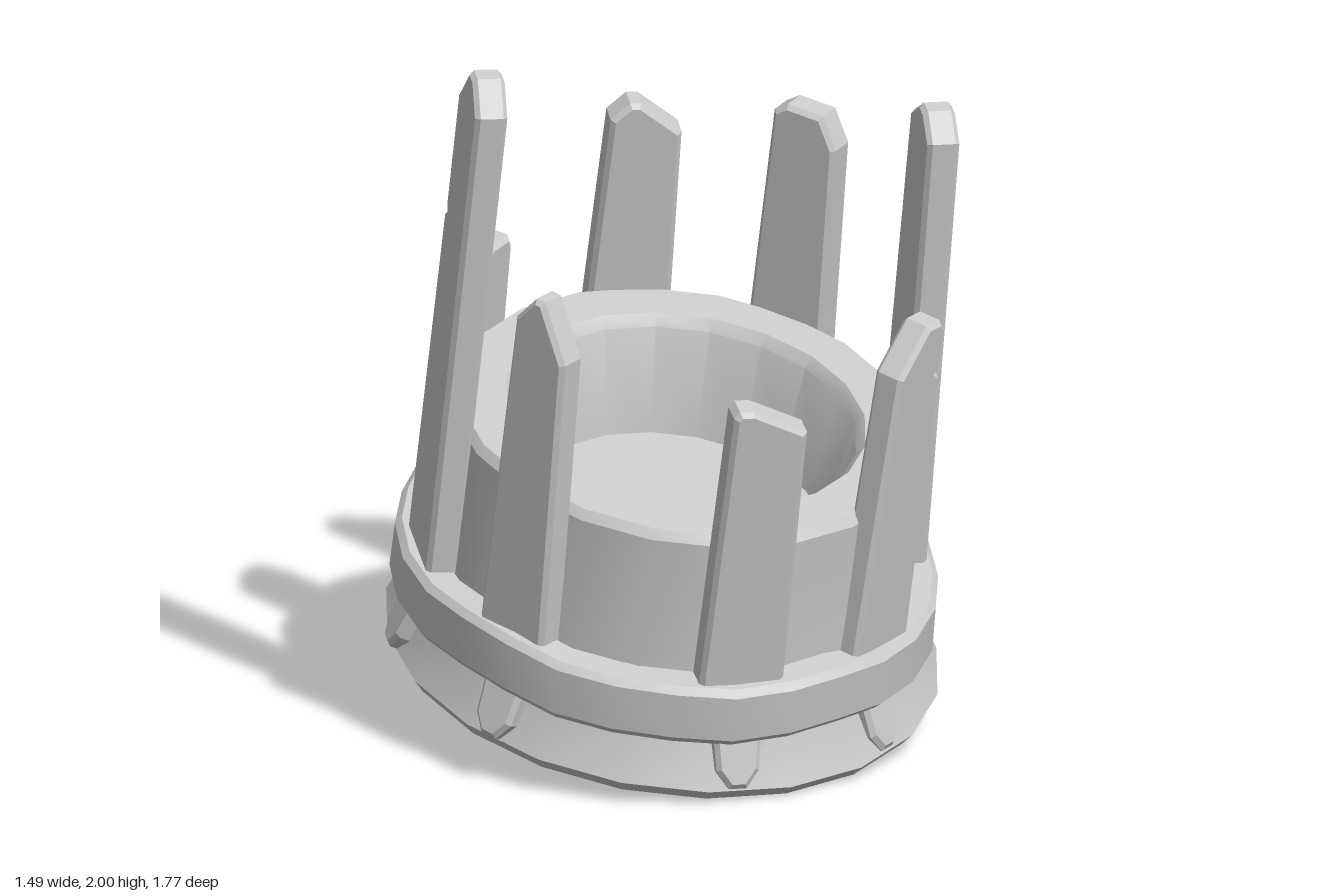
import * as THREE from 'three';
import { toCreasedNormals } from 'three/addons/utils/BufferGeometryUtils.js';

const TILT = 0.206;                                   // the whole piece leans forward
const ORIGIN = new THREE.Vector3(0, 0.172, -0.09);    // centre of the tilted underside
const OVAL = 1.095;                                   // depth to width of the round parts
const FLOOR = 0.44;                                   // height of the floor inside
const SHIFT = -0.013;                                 // planks and band sit slightly off centre
const stone = new THREE.MeshStandardMaterial({ color: 0xcccccc });
stone.name = 'grey stone';

// Oval lathe with sharp rims; warp(point, angle) roughens it
function ring(name, profile, segments, warp) {
  const g = new THREE.LatheGeometry(profile.map(([r, y]) => new THREE.Vector2(r, y)), segments);
  const p = g.attributes.position, v = new THREE.Vector3();
  for (let i = 0; i < p.count; i++) {
    v.fromBufferAttribute(p, i);
    warp(v, Math.atan2(v.x, v.z));
    p.setXYZ(i, v.x, v.y, v.z * OVAL);
  }
  const mesh = new THREE.Mesh(toCreasedNormals(g, 0.5), stone);
  mesh.name = name;
  return mesh;
}

// Point on the tilted oval, in upright coordinates
function onRing(angle, radius, height) {
  return new THREE.Vector3(radius * Math.sin(angle) + SHIFT, height, radius * OVAL * Math.cos(angle))
    .applyAxisAngle(new THREE.Vector3(1, 0, 0), TILT).add(ORIGIN);
}

// Bevelled board: outline in (across, along), standing from one point to another
function board(name, outline, from, to, angle, thickness) {
  const b = 0.013;
  const g = new THREE.ExtrudeGeometry(
    new THREE.Shape(outline.map(([x, y]) => new THREE.Vector2(x, y))),
    { depth: thickness - 2 * b, bevelEnabled: true, bevelSize: b, bevelThickness: b, bevelOffset: -b, bevelSegments: 1 });
  g.translate(0, 0, b - thickness / 2);
  const up = to.clone().sub(from).normalize();
  const out = new THREE.Vector3(Math.sin(angle), 0, Math.cos(angle));
  out.addScaledVector(up, -out.dot(up)).normalize();
  const across = up.clone().cross(out);
  g.applyMatrix4(new THREE.Matrix4().makeBasis(across, up, out).setPosition(from));
  const mesh = new THREE.Mesh(g, stone);
  mesh.name = name;
  return mesh;
}

// angle round the ring, top point, widths below and above, tip span,
// drop of the two shoulders, optional notch [side, distance below the tip]
const PLANKS = [
  { name: 'frontPlank', a: -0.19, top: [-0.13, 1.2, 0.845], w: [0.24, 0.21], tip: [-0.09, -0.05], drop: [0.02, 0.07] },
  { name: 'frontLeftPlank', a: 0.49, top: [0.355, 1.33, 0.75], w: [0.25, 0.19], tip: [0.01, 0.07], drop: [0.13, 0.03], notch: [1, 0.16] },
  { name: 'leftPlank', a: 1.34, top: [0.605, 1.8, 0.38], w: [0.28, 0.22], tip: [-0.03, 0.02], drop: [0.06, 0.07] },
  { name: 'backLeftPlank', a: 2.17, top: [0.525, 1.62, -0.22], w: [0.26, 0.2], tip: [-0.05, 0.06], drop: [0.09, 0.03] },
  { name: 'backPlank', a: 2.88, top: [0.15, 1.62, -0.485], w: [0.26, 0.2], tip: [0.02, 0.05], drop: [0.09, 0.05] },
  { name: 'backRightPlank', a: -2.6, top: [-0.345, 1.28, -0.49], w: [0.22, 0.19], tip: [-0.08, 0.01], drop: [0.03, 0.11] },
  { name: 'rightPlank', a: -1.82, top: [-0.625, 2.0, 0.115], w: [0.26, 0.22], tip: [-0.02, 0.03], drop: [0.12, 0.08], notch: [-1, 0.48] },
  { name: 'frontRightPlank', a: -1.14, top: [-0.6, 1.46, 0.47], w: [0.23, 0.18], tip: [-0.03, 0.0], drop: [0.08, 0.16] },
];

function plank({ name, a, top, w, tip, drop, notch }) {
  const from = onRing(a, 0.645, 0.2), to = new THREE.Vector3(...top);
  const L = from.distanceTo(to), half = y => THREE.MathUtils.lerp(w[0], w[1], y / L) / 2;
  const side = (s, d) => {                             // one long edge, bottom to shoulder
    const pts = [[s * half(0), 0]];
    if (notch && notch[0] === s) {
      const y = L - notch[1];
      pts.push([s * half(y), y - 0.015], [s * (half(y) - 0.02), y], [s * (half(y) - 0.01), y + 0.015]);
    }
    pts.push([s * half(L), L - d]);
    return pts;
  };
  const outline = [...side(1, drop[1]), [tip[1], L], [tip[0], L], ...side(-1, drop[0]).reverse()];
  return board(name, outline, from, to, a, 0.09);
}

// Pointed plank end showing under the band, splayed along the flared foot
function peg({ name, a }) {
  const outline = [[-0.025, 0], [0.025, 0], [0.06, 0.05], [0.07, 0.19], [-0.07, 0.19], [-0.06, 0.05]];
  return board(name + 'Peg', outline, onRing(a, 0.728, 0.04), onRing(a, 0.66, 0.23), a, 0.055);
}

export function createModel() {
  const model = new THREE.Group();
  model.name = 'stockadeTower';

  // Round body with flared foot and thick wall; the hollow narrows to an off-centre floor
  const body = new THREE.Group();
  body.name = 'body';
  body.rotation.x = TILT;
  body.position.copy(ORIGIN);
  body.add(ring('towerWall', [
    [0, 0], [0.72, 0], [0.745, 0.035], [0.655, 0.21], [0.64, 0.3],
    [0.628, 0.73], [0.61, 0.757], [0.485, 0.76], [0.462, 0.73], [0.395, FLOOR], [0, FLOOR],
  ], 20, v => {
    if (v.y === FLOOR) {
      v.x -= 0.025;
      v.z -= 0.04;
    }
  }));

  // Uneven band holding the planks
  body.add(ring('band', [
    [0.63, 0.18], [0.71, 0.172], [0.73, 0.195], [0.727, 0.325], [0.71, 0.345], [0.63, 0.345], [0.63, 0.18],
  ], 28, (v, a) => {
    v.y += 0.008 * Math.sin(5 * a + 1) + 0.005 * Math.sin(9 * a);
    const k = 1 + 0.006 * Math.sin(7 * a + 2);
    v.x = v.x * k + SHIFT;
    v.z *= k;
  }));
  model.add(body);

  // Leaning planks all round
  const planks = new THREE.Group();
  planks.name = 'planks';
  for (const p of PLANKS) planks.add(plank(p), peg(p));
  model.add(planks);
  return model;
}
